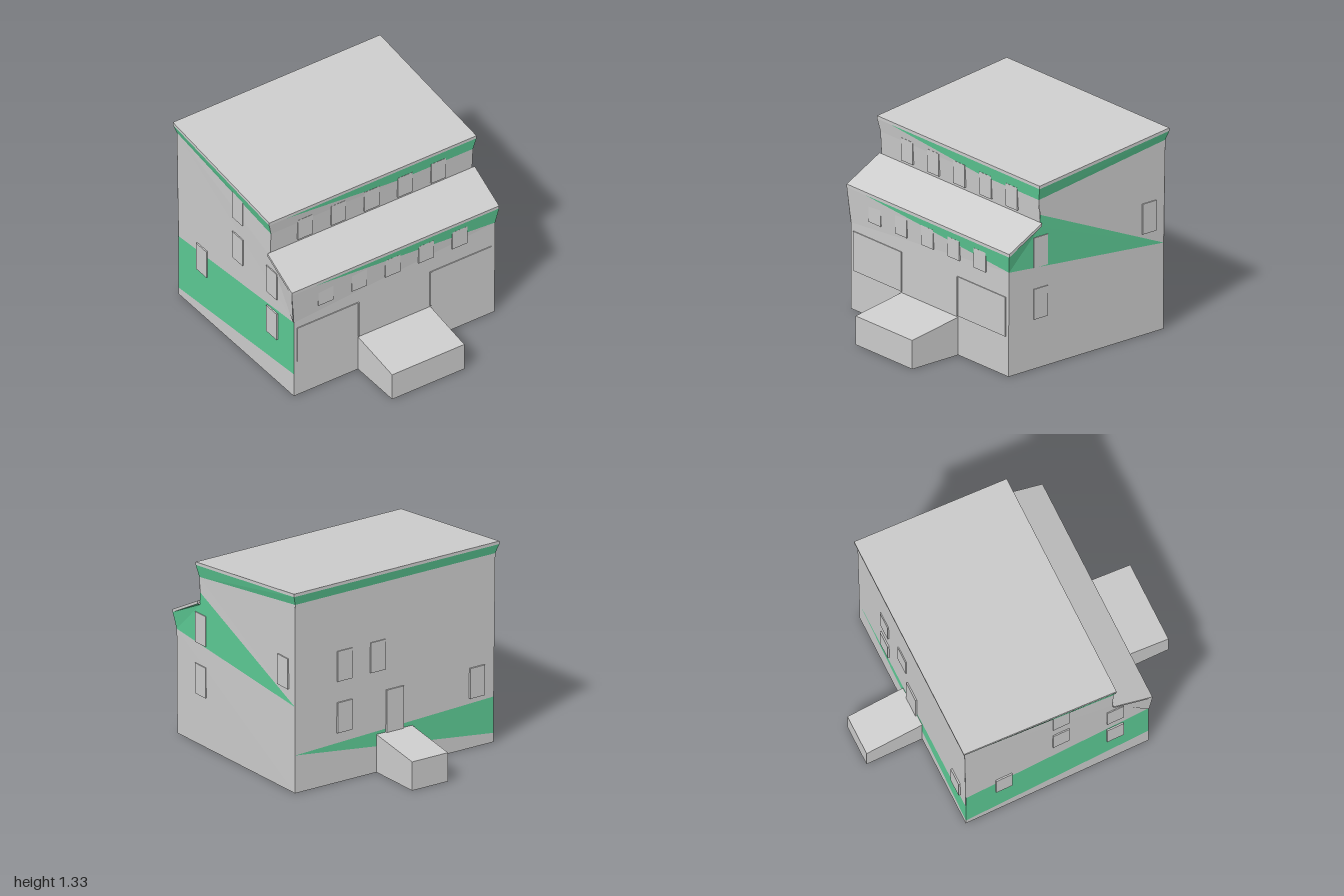
import * as THREE from 'three';

const grey = new THREE.MeshStandardMaterial({ color: 0xcccccc, side: THREE.DoubleSide, flatShading: true });
const green = new THREE.MeshStandardMaterial({ color: 0x5cc994, side: THREE.DoubleSide, flatShading: true });

export function createModel() {
  const root = new THREE.Group();

  // Flat polygon, fanned from its first corner
  function panel(name, pts, mat = grey) {
    const v = [];
    for (let i = 1; i < pts.length - 1; i++) v.push(...pts[0], ...pts[i], ...pts[i + 1]);
    const g = new THREE.BufferGeometry();
    g.setAttribute('position', new THREE.Float32BufferAttribute(v, 3));
    g.computeVertexNormals();
    const m = new THREE.Mesh(g, mat);
    m.name = name;
    root.add(m);
  }
  function box(name, w, h, d, x, y, z) {
    const m = new THREE.Mesh(new THREE.BoxGeometry(w, h, d), grey);
    m.name = name;
    m.position.set(x, y, z);
    root.add(m);
  }
  // Polygon on a side wall, given as (z, y); the wall leans out slightly
  const side = (s, zy) => zy.map(([z, y]) => [s * (y > 0.6 ? 0.755 : 0.75), y, z]);

  // Front wall with its flared, partly green top
  panel('frontWall', [[-0.75, 0, 0.63], [0.75, 0, 0.63], [0.755, 0.69, 0.63], [-0.75, 0.57, 0.63]]);
  panel('frontWallFlare', [[-0.75, 0.57, 0.63], [0.755, 0.69, 0.63], [-0.6, 0.8, 0.645], [-0.775, 0.8, 0.645]]);
  panel('frontGreenFascia', [[-0.6, 0.8, 0.645], [0.755, 0.69, 0.63], [0.775, 0.8, 0.645]], green);

  // Upper front wall and fascia
  panel('upperFrontWall', [[-0.755, 0.95, 0.38], [0.755, 0.95, 0.38], [0.755, 1.11, 0.39], [-0.755, 1.11, 0.39]]);
  panel('upperFrontFlare', [[-0.755, 1.11, 0.39], [0.2, 1.11, 0.39], [-0.65, 1.19, 0.4], [-0.775, 1.19, 0.4]]);
  panel('upperGreenFascia', [[-0.65, 1.19, 0.4], [0.2, 1.11, 0.39], [0.755, 1.11, 0.39], [0.775, 1.19, 0.4]], green);

  // Left side: grey base, green wedge, grey top
  panel('leftWallBase', side(1, [[-0.62, 0], [-0.62, 0.57], [0.63, 0.69], [0.63, 0]]));
  panel('leftGreenWedge', side(1, [[-0.62, 0.57], [0.38, 1.01], [0.38, 0.93], [0.63, 0.69]]), green);
  panel('leftWallTop', side(1, [[-0.62, 0.57], [-0.63, 1.25], [0.39, 1.11], [0.38, 1.01]]));

  // Right side: grey wall with a sloping green band
  panel('rightWallBase', side(-1, [[-0.62, 0], [0.63, 0], [0.63, 0.17], [-0.62, 0.05]]));
  panel('rightGreenBand', side(-1, [[-0.62, 0.05], [0.63, 0.17], [0.63, 0.57], [-0.62, 0.45]]), green);
  panel('rightWallTop', side(-1, [[-0.63, 1.25], [-0.62, 0.45], [0.63, 0.57], [0.38, 0.93], [0.39, 1.11]]));

  // Back wall with a low green wedge, and its fascia
  panel('backWallBase', [[-0.75, 0, -0.62], [0.75, 0, -0.62], [0.75, 0.25, -0.62], [-0.75, 0.06, -0.62]]);
  panel('backGreenWedge', [[0.75, 0.25, -0.62], [-0.75, 0.06, -0.62], [-0.75, 0.3, -0.62]], green);
  panel('backWall', [[0.75, 0.25, -0.62], [-0.75, 0.3, -0.62], [-0.755, 1.25, -0.63], [0.755, 1.25, -0.63]]);
  panel('backGreenFascia', [[-0.755, 1.25, -0.63], [0.755, 1.25, -0.63], [0.775, 1.31, -0.645], [-0.775, 1.31, -0.645]], green);

  // Side flares beneath both roofs
  for (const s of [1, -1]) {
    const low = s > 0 ? 0.69 : 0.57;
    panel('sideFascia', [[s * 0.755, 1.11, 0.39], [s * 0.755, 1.25, -0.63], [s * 0.775, 1.31, -0.645], [s * 0.775, 1.19, 0.4]], green);
    panel('lowerSideFlare', [[s * 0.755, 0.93, 0.38], [s * 0.755, low, 0.63], [s * 0.775, 0.8, 0.645], [s * 0.775, 0.94, 0.38]],
      s > 0 ? green : grey);
  }

  // Sloping roofs: a top sheet with a thin lip on every edge
  function roof(name, zf, yf, zb, yb) {
    const c = [[-0.775, yf, zf], [0.775, yf, zf], [0.775, yb, zb], [-0.775, yb, zb]];
    panel(name, c);
    for (let i = 0; i < 4; i++) {
      const a = c[i], b = c[(i + 1) % 4];
      panel(name + 'Edge', [a, b, [b[0], b[1] - 0.02, b[2]], [a[0], a[1] - 0.02, a[2]]]);
    }
  }
  roof('upperRoof', 0.4, 1.21, -0.645, 1.33);
  roof('lowerRoof', 0.645, 0.82, 0.38, 0.96);

  // Open-bottomed porches with sloping tops
  function porch(name, w, z0, z1) {
    panel(name + 'Top', [[-w, 0.25, z0], [w, 0.25, z0], [w, 0.19, z1], [-w, 0.19, z1]]);
    panel(name + 'End', [[-w, 0, z1], [w, 0, z1], [w, 0.19, z1], [-w, 0.19, z1]]);
    for (const x of [-w, w]) panel(name + 'Side', [[x, 0, z0], [x, 0, z1], [x, 0.19, z1], [x, 0.25, z0]]);
  }
  porch('frontPorch', 0.27, 0.63, 1);
  porch('backPorch', 0.135, -0.62, -1);

  // Large front doors
  for (const s of [1, -1]) {
    box('largeDoor', 0.455, 0.26, 0.016, s * 0.4975, 0.39, 0.628);
    box('doorPost', 0.01, 0.26, 0.02, s * 0.27, 0.39, 0.63);
  }

  // Two rows of front windows
  for (let i = 0; i < 5; i++) {
    box('lowerFrontWindow', 0.112, 0.13, 0.02, -0.515 + i * 0.25, 0.695, 0.63);
    box('upperFrontWindow', 0.11, 0.15, 0.02, -0.5 + i * 0.249, 1.055, 0.384);
  }

  // Side windows as [side, z, y]
  const sideWindows = [[1, 0.375, 0.43], [1, 0.375, 0.77], [1, -0.5, 0.77],
    [-1, -0.36, 0.43], [-1, 0.03, 0.77], [-1, 0.03, 1.08], [-1, 0.4, 0.74], [-1, 0.4, 0.43]];
  for (const [s, z, y] of sideWindows) box('sideWindow', 0.02, 0.2, 0.112, s * 0.75, y, z);

  // Back windows as [x, y], and the back door
  for (const [x, y] of [[0.38, 0.77], [0.13, 0.77], [0.38, 0.43], [-0.62, 0.43]])
    box('backWindow', 0.112, 0.2, 0.02, x, y, -0.623);
  box('backDoor', 0.13, 0.28, 0.02, 0, 0.39, -0.622);

  return root;
}
